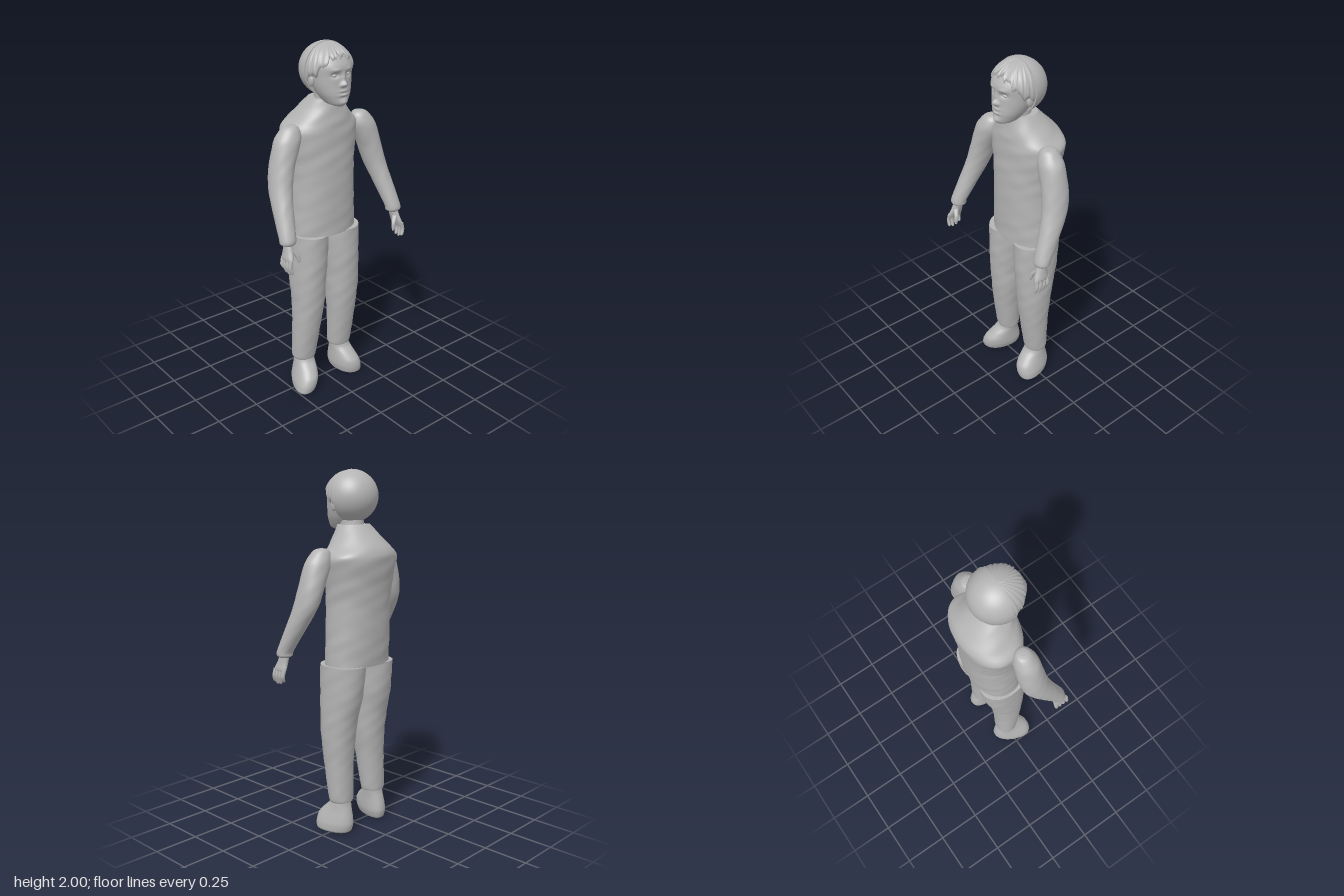
import * as THREE from 'three';

const grey = new THREE.MeshStandardMaterial({ color: 0xb4b4b4, side: THREE.DoubleSide });
grey.name = 'plain grey';

// Smooth body through horizontal rings, listed bottom to top: [x, y, z, radiusX, radiusZ].
// power squares off the outline, folds adds soft cloth ripples, side mirrors x.
function loft(name, rings, { n = 32, steps = 6, power = 2, folds = 0, side = 1 } = {}) {
  const centres = new THREE.CatmullRomCurve3(rings.map(r => new THREE.Vector3(r[0] * side, r[1], r[2])), false, 'catmullrom', 0.4);
  const radii = new THREE.CatmullRomCurve3(rings.map(r => new THREE.Vector3(r[3], r[4], 0)), false, 'catmullrom', 0.4);
  const rows = (rings.length - 1) * steps;
  const pos = [], index = [];
  const round = v => Math.sign(v) * Math.abs(v) ** (2 / power);
  const addRing = i => {
    const c = centres.getPoint(i / rows), r = radii.getPoint(i / rows);
    for (let j = 0; j < n; j++) {
      const a = j / n * Math.PI * 2;
      const k = 1 + folds * (Math.sin(c.y * 43 + 2 * Math.sin(a * 3)) + Math.sin(c.y * 71 + a * 5)) * 0.5;
      pos.push(c.x + round(Math.cos(a)) * r.x * k, c.y, c.z + round(Math.sin(a)) * r.y * k);
    }
    return c;
  };
  for (let i = 0; i <= rows; i++) addRing(i);
  for (let i = 0; i < rows; i++) for (let j = 0; j < n; j++) {
    const a = i * n + j, b = i * n + (j + 1) % n;
    index.push(a, a + n, b, b, a + n, b + n);
  }
  // flat ends with their own vertices
  for (const i of [0, rows]) {
    const start = pos.length / 3, c = addRing(i);
    pos.push(c.x, c.y, c.z);
    for (let j = 0; j < n; j++) {
      const a = start + j, b = start + (j + 1) % n;
      if (i) index.push(a, start + n, b); else index.push(a, b, start + n);
    }
  }
  const g = new THREE.BufferGeometry();
  g.setAttribute('position', new THREE.Float32BufferAttribute(pos, 3));
  g.setIndex(index);
  g.computeVertexNormals();
  return named(name, g);
}

function named(name, geometry) {
  const m = new THREE.Mesh(geometry, grey);
  m.name = name;
  return m;
}

function ball(name, x, y, z, rx, ry, rz) {
  const m = named(name, new THREE.SphereGeometry(1, 20, 14));
  m.position.set(x, y, z);
  m.scale.set(rx, ry, rz);
  return m;
}

// Face with features pushed in and out by soft bumps: [x, y, spreadX, spreadY, depth]
function makeFace() {
  const face = loft('face', [
    [0, 1.685, 0.105, 0.025, 0.035], [0, 1.70, 0.085, 0.055, 0.065], [0, 1.745, 0.065, 0.085, 0.09],
    [0, 1.79, 0.05, 0.102, 0.10], [0, 1.84, 0.04, 0.11, 0.108], [0, 1.89, 0.035, 0.112, 0.115],
    [0, 1.94, 0.02, 0.1, 0.1], [0, 1.975, 0.01, 0.065, 0.07], [0, 1.985, 0, 0.02, 0.02]],
  { n: 112, steps: 9, power: 2.1 });
  const bumps = [
    [0, 1.803, 0.013, 0.014, 0.026], [0, 1.835, 0.010, 0.022, 0.012],
    [0.016, 1.797, 0.008, 0.008, 0.008], [-0.016, 1.797, 0.008, 0.008, 0.008],
    [0.042, 1.848, 0.02, 0.012, -0.014], [-0.042, 1.848, 0.02, 0.012, -0.014],
    [0.042, 1.875, 0.025, 0.008, 0.006], [-0.042, 1.875, 0.025, 0.008, 0.006],
    [0, 1.767, 0.022, 0.006, 0.008], [0, 1.747, 0.02, 0.006, 0.008],
    [0, 1.757, 0.028, 0.003, -0.006], [0, 1.733, 0.025, 0.006, -0.005],
    [0, 1.708, 0.025, 0.014, 0.012]];
  const p = face.geometry.attributes.position;
  for (let i = 0; i < p.count; i++) {
    const x = p.getX(i), y = p.getY(i), z = p.getZ(i);
    if (z < 0.07) continue;
    let push = 0;
    for (const [bx, by, sx, sy, d] of bumps) push += d * Math.exp(-(((x - bx) / sx) ** 2) - ((y - by) / sy) ** 2);
    p.setZ(i, z + push);
  }
  face.geometry.computeVertexNormals();
  return face;
}

// Combed front hair: a ridged shell that ends in a ragged hairline
function makeFringe() {
  const across = 120, down = 24, pos = [], index = [];
  for (let i = 0; i <= across; i++) {
    const a = -0.15 + (Math.PI + 0.3) * i / across;
    const temple = Math.abs(Math.cos(a)) ** 2.5;
    const edge = 1.08 + 0.92 * temple + 0.09 * Math.sin(a * 17) + 0.05 * Math.sin(a * 31 + 1) - 0.12 * Math.cos(a - 2);
    for (let j = 0; j <= down; j++) {
      const v = j / down, t = v * edge;
      let k = 1 + v * (0.014 * Math.sin(a * 34 + v * 3) + 0.01 * Math.sin(a * 57 - v * 4));
      if (v > 0.9) k -= (v - 0.9) * 0.9;
      pos.push(0.136 * k * Math.sin(t) * Math.cos(a), 1.86 + 0.138 * k * Math.cos(t), 0.165 * k * Math.sin(t) * Math.sin(a));
      if (i < across && j < down) {
        const q = i * (down + 1) + j, r = q + down + 1;
        index.push(q, r, q + 1, r, r + 1, q + 1);
      }
    }
  }
  const g = new THREE.BufferGeometry();
  g.setAttribute('position', new THREE.Float32BufferAttribute(pos, 3));
  g.setIndex(index);
  g.computeVertexNormals();
  return named('frontHair', g);
}

function makeHead() {
  const head = new THREE.Group();
  head.name = 'head';
  // rounded back of the head, closed by a disc at its front edge
  const back = named('backHair', new THREE.SphereGeometry(1, 40, 32, Math.PI, Math.PI));
  const rim = named('backHairRim', new THREE.CircleGeometry(1, 48));
  for (const m of [back, rim]) {
    m.position.set(0, 1.86, 0.012);
    m.scale.set(0.143, 0.14, 0.144);
  }
  head.add(makeFace(), makeFringe(), back, rim);
  for (const s of [-1, 1]) {
    head.add(ball('eye', s * 0.042, 1.846, 0.126, 0.015, 0.009, 0.012));
    head.add(ball('ear', s * 0.114, 1.815, 0.03, 0.014, 0.032, 0.02));
  }
  head.add(loft('neck', [[0, 1.62, -0.01, 0.075, 0.075], [0, 1.70, 0.01, 0.065, 0.07], [0, 1.77, 0.02, 0.065, 0.07]]));
  return head;
}

function makeArm(side) {
  const arm = new THREE.Group();
  arm.name = side > 0 ? 'leftArm' : 'rightArm';
  arm.add(loft('sleeve', [
    [0.368, 1.018, 0.155, 0.025, 0.025], [0.368, 1.03, 0.152, 0.043, 0.041], [0.366, 1.06, 0.147, 0.046, 0.045],
    [0.343, 1.2, 0.077, 0.054, 0.062], [0.322, 1.3, 0.034, 0.06, 0.073], [0.297, 1.4, 0.017, 0.066, 0.073],
    [0.255, 1.52, 0.01, 0.075, 0.066], [0.238, 1.57, 0.007, 0.056, 0.05], [0.234, 1.592, 0.005, 0.035, 0.034],
    [0.233, 1.598, 0.005, 0.012, 0.012]], { side, folds: 0.012 }));
  arm.add(loft('palm', [
    [0.387, 0.93, 0.172, 0.01, 0.036], [0.385, 0.955, 0.17, 0.018, 0.044],
    [0.375, 0.99, 0.163, 0.022, 0.036], [0.367, 1.04, 0.152, 0.024, 0.026]], { side, n: 20 }));
  for (let i = 0; i < 4; i++) {
    const z = 0.137 + i * 0.023, tip = 0.868 + [0.016, 0.003, 0, 0.01][i];
    arm.add(loft('finger', [
      [0.384, tip, z + 0.008, 0.003, 0.003], [0.388, tip + 0.008, z + 0.007, 0.009, 0.009],
      [0.397, 0.915, z + 0.003, 0.011, 0.0105], [0.388, 0.955, z, 0.012, 0.011]], { side, n: 12, steps: 4 }));
  }
  arm.add(loft('thumb', [
    [0.332, 0.925, 0.2, 0.003, 0.003], [0.333, 0.933, 0.199, 0.009, 0.009],
    [0.34, 0.965, 0.193, 0.012, 0.012], [0.365, 1.0, 0.175, 0.014, 0.016]], { side, n: 12, steps: 4 }));
  return arm;
}

// Trouser leg and shoe; the ankle and shoe positions differ a little left and right
function makeLeg(side, ankle, toe, toeOut) {
  const leg = new THREE.Group();
  leg.name = side > 0 ? 'leftLeg' : 'rightLeg';
  leg.add(loft('trouserLeg', [
    [ankle, 0.18, -0.02, 0.064, 0.06], [ankle + 0.001, 0.21, -0.018, 0.072, 0.064],
    [(ankle + 0.123) / 2, 0.4, -0.005, 0.081, 0.08], [0.121, 0.55, -0.003, 0.091, 0.096], [0.12, 0.66, -0.008, 0.095, 0.108],
    [0.113, 0.8, -0.02, 0.101, 0.128], [0.108, 0.965, -0.027, 0.105, 0.137]],
  { side, folds: 0.014, power: 2.15 }));
  const shoe = loft('shoe', [
    [0, 0, 0.015, 0.05, 0.088], [0, 0.012, 0.014, 0.064, 0.104], [0, 0.05, 0.012, 0.07, 0.112],
    [0, 0.09, 0.01, 0.066, 0.106], [0, 0.13, -0.001, 0.06, 0.085], [0, 0.165, -0.014, 0.057, 0.062],
    [0, 0.21, -0.02, 0.055, 0.05]], { power: 2.2 });
  // lean the shoe outward toward its sole and toe
  const p = shoe.geometry.attributes.position;
  for (let i = 0; i < p.count; i++) {
    const low = Math.max(0, 1 - p.getY(i) / 0.19);
    const z = p.getZ(i);
    p.setX(i, p.getX(i) * (1 + z * 1.2 * low) + side * ((toe - ankle) * low + z * toeOut * low));
  }
  shoe.geometry.computeVertexNormals();
  shoe.position.x = side * ankle;
  leg.add(shoe);
  return leg;
}

export function createModel() {
  const figure = new THREE.Group();
  figure.name = 'standingFigure';
  // jacket body with full upper back and sloping shoulders
  figure.add(loft('torso', [
    [0, 0.96, -0.03, 0.2, 0.138], [0, 1.1, -0.034, 0.195, 0.144], [0, 1.3, -0.038, 0.19, 0.148],
    [0, 1.42, -0.045, 0.203, 0.152], [0, 1.53, -0.054, 0.222, 0.157], [0, 1.565, -0.054, 0.212, 0.155],
    [0, 1.6, -0.046, 0.175, 0.146], [0, 1.66, -0.024, 0.125, 0.113], [0, 1.712, -0.003, 0.088, 0.083]],
  { n: 64, power: 2.2, folds: 0.012 }));
  figure.add(makeHead(), makeArm(1), makeArm(-1));
  figure.add(makeLeg(1, 0.118, 0.138, 0.15), makeLeg(-1, 0.142, 0.175, 0.3));
  return figure;
}
